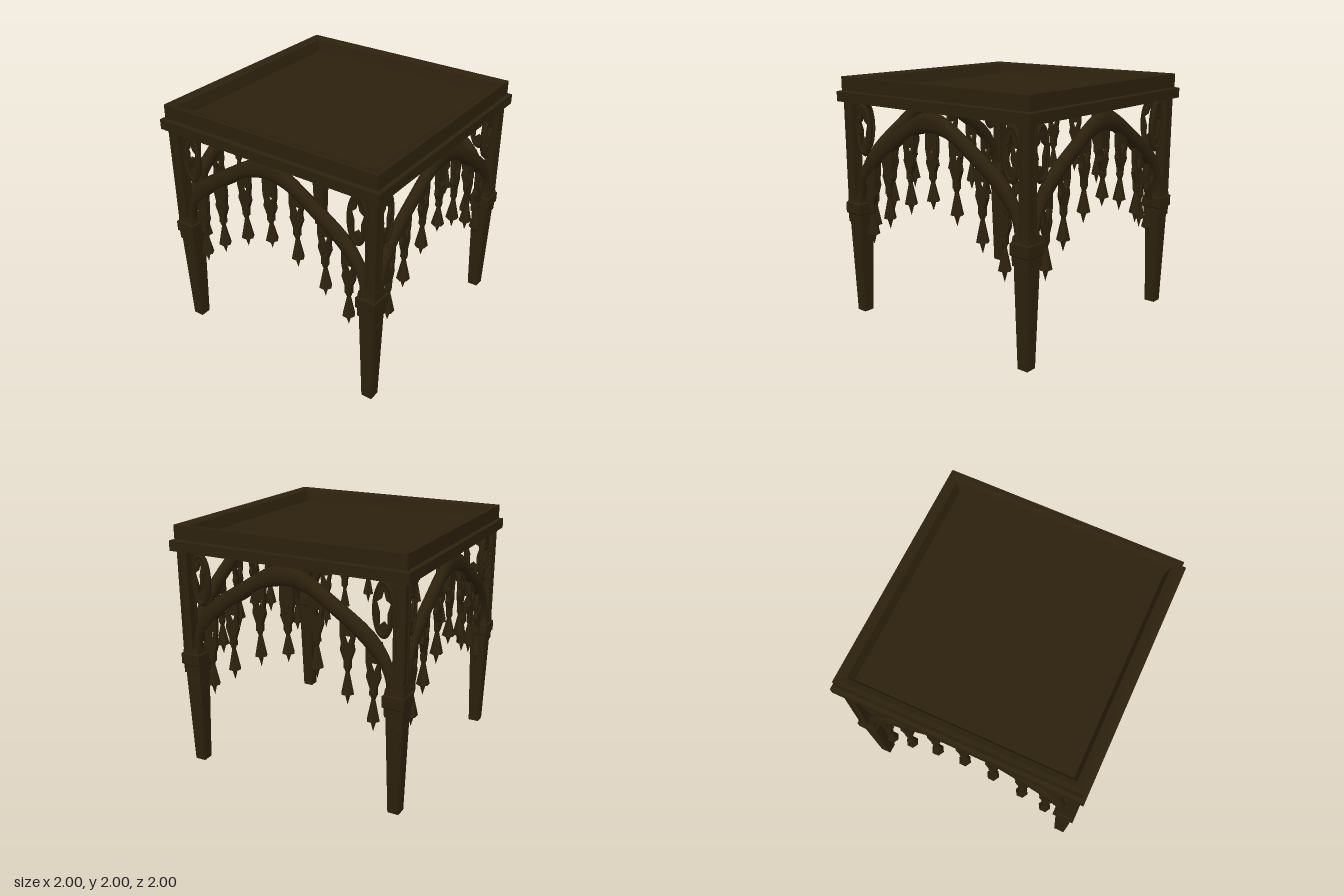
import * as THREE from 'three';
import { toCreasedNormals } from 'three/addons/utils/BufferGeometryUtils.js';

const darkWood = new THREE.MeshStandardMaterial({ color: 0x2d210d });
const brownWood = new THREE.MeshStandardMaterial({ color: 0x583e2b });
darkWood.name = 'darkWood';
brownWood.name = 'brownWood';

const v2 = (p) => new THREE.Vector2(p[0], p[1]);

function part(name, geometry, parent, x = 0, y = 0, z = 0, material = darkWood) {
  const mesh = new THREE.Mesh(geometry, material);
  mesh.name = name;
  mesh.position.set(x, y, z);
  parent.add(mesh);
  return mesh;
}

// Square-plan solid from a [half width, height] profile, listed bottom to top
function squareTurned(profile) {
  const pts = profile.map(([r, y]) => new THREE.Vector2(r * Math.SQRT2, y));
  return toCreasedNormals(new THREE.LatheGeometry(pts, 4, Math.PI / 4), 0.3);
}

// Plate centred on z = 0, with optional holes
function plate(outline, depth, holes = []) {
  const shape = new THREE.Shape(outline.map(v2));
  holes.forEach((h) => shape.holes.push(new THREE.Path(h.map(v2))));
  return new THREE.ExtrudeGeometry(shape, { depth, bevelEnabled: false }).translate(0, 0, -depth / 2);
}

const loop = (n, f) => Array.from({ length: n }, (_, i) => f((i / n) * Math.PI * 2, i));

// Rounded section swept between the outer and inner edges of the arch
function archGeometry() {
  const outer = [[0.885, 0.95], [0.872, 1.08], [0.84, 1.2], [0.78, 1.31], [0.7, 1.405], [0.55, 1.515],
    [0.4, 1.61], [0.25, 1.705], [0.12, 1.775], [0, 1.8]];
  const inner = [[0.82, 0.95], [0.81, 1.05], [0.775, 1.14], [0.71, 1.215], [0.61, 1.31], [0.48, 1.41],
    [0.35, 1.495], [0.22, 1.58], [0.1, 1.62], [0, 1.63]];
  const full = (half) => new THREE.CatmullRomCurve3([
    ...half.map(([x, y]) => new THREE.Vector3(-x, y, 0)),
    ...half.slice(0, -1).reverse().map(([x, y]) => new THREE.Vector3(x, y, 0))]);
  const a = full(outer), b = full(inner), steps = 36, sides = 10;
  const pos = [], idx = [];
  for (let i = 0; i <= steps; i++) {
    const p = a.getPoint(i / steps), q = b.getPoint(i / steps);
    const mid = p.clone().add(q).multiplyScalar(0.5), h = p.clone().sub(mid);
    for (let j = 0; j < sides; j++) {
      const t = (j / sides) * Math.PI * 2, c = Math.cos(t);
      pos.push(mid.x + h.x * c, mid.y + h.y * c, 0.044 * Math.sin(t));
      if (i === steps) continue;
      const k = i * sides + j, n = i * sides + ((j + 1) % sides);
      idx.push(k, n, k + sides, n, n + sides, k + sides);
    }
  }
  const g = new THREE.BufferGeometry();
  g.setAttribute('position', new THREE.Float32BufferAttribute(pos, 3));
  g.setIndex(idx);
  g.computeVertexNormals();
  return g;
}

// Hanging drop: pierced plate, bead, tassel and pointed tip
const dropPlate = plate(
  [[-0.058, 0.16], [-0.058, 0], [-0.046, -0.06], [-0.055, -0.11], [-0.026, -0.19], [-0.026, -0.25],
    [0.026, -0.25], [0.026, -0.19], [0.055, -0.11], [0.046, -0.06], [0.058, 0], [0.058, 0.16]],
  0.035, [[[-0.032, 0], [0.032, 0], [0, -0.085]]]);
const dropTassel = toCreasedNormals(new THREE.LatheGeometry(
  [[0, -0.54], [0.022, -0.46], [0.052, -0.45], [0.02, -0.3], [0.016, -0.28], [0.026, -0.255],
    [0.026, -0.22], [0, -0.2]].map(v2), 6, Math.PI / 6), 0.5);

function drop(parent, x, y, stretch) {
  const g = new THREE.Group();
  g.name = 'drop';
  g.position.set(x, y, 0);
  g.scale.y = stretch;
  part('dropPlate', dropPlate, g);
  part('dropTassel', dropTassel, g);
  parent.add(g);
}

// Oval tracery: rim with a cusped star opening
const ovalPlate = plate(
  loop(28, (t) => [0.075 * Math.cos(t), 0.205 * Math.sin(t)]), 0.025,
  [loop(10, (t, i) => {
    const r = i % 2 ? 0.6 : 1;
    return [0.06 * r * Math.sin(t), 0.15 * r * Math.cos(t)];
  })]);
const ovalRim = new THREE.TorusGeometry(1, 0.15, 6, 28);
ovalRim.scale(0.074, 0.19, 0.17);
ovalRim.computeVertexNormals();

const arch = archGeometry();

function side() {
  const g = new THREE.Group();
  g.name = 'archedSide';
  part('arch', arch, g);
  for (const s of [-1, 1]) {
    part('ovalPlate', ovalPlate, g, s * 0.78, 1.578, 0);
    part('ovalRim', ovalRim, g, s * 0.78, 1.578, 0);
    for (const [x, y] of [[0.247, 1.5], [0.5, 1.34], [0.71, 1.17]]) drop(g, s * x, y, 1);
  }
  drop(g, 0, 1.5, 0.85);
  return g;
}

const legShaft = squareTurned([[0, 0], [0.045, 0], [0.065, 0.77], [0.065, 0.8], [0, 0.8]]);
const collar = squareTurned([[0, 0.79], [0.074, 0.79], [0.076, 0.86], [0.087, 0.87], [0.087, 0.955],
  [0.076, 0.965], [0.07, 1.01], [0, 1.01]]);
const legPanel = plate([[-0.034, 0.05], [0.034, 0.05], [0.05, 0.72], [-0.05, 0.72]], 0.008);
legPanel.rotateX(Math.atan(0.02 / 0.77)).translate(0, 0, 0.045);

function leg() {
  const g = new THREE.Group();
  g.name = 'leg';
  part('legShaft', legShaft, g);
  part('collar', collar, g);
  for (let i = 0; i < 4; i++) part('legPanel', legPanel, g).rotation.y = (i * Math.PI) / 2;
  // Upper post: recessed core between four corner strips
  const post = new THREE.Group();
  post.name = 'upperPost';
  post.position.set(0.027, 0, 0.027);
  part('postCore', new THREE.BoxGeometry(0.074, 0.8, 0.074), post, 0, 1.4, 0);
  for (const x of [-1, 1]) for (const z of [-1, 1]) {
    part('postStrip', new THREE.BoxGeometry(0.018, 0.8, 0.018), post, x * 0.036, 1.4, z * 0.036);
  }
  for (const y of [1.02, 1.785]) part('postBand', new THREE.BoxGeometry(0.089, 0.03, 0.089), post, 0, y, 0);
  g.add(post);
  return g;
}

export function createModel() {
  const model = new THREE.Group();
  model.name = 'table';

  // Top with an overhanging lip and a sunken centre
  part('tabletop', squareTurned([[0, 1.8], [1, 1.8], [1, 1.88], [0.97, 1.888], [0.97, 2], [0.935, 2],
    [0.895, 1.985], [0.865, 1.895], [0, 1.895]]), model);

  // Lighter field on the underside
  const pow = (v) => Math.sign(v) * Math.pow(Math.abs(v), 0.62);
  const field = new THREE.ShapeGeometry(new THREE.Shape(
    loop(32, (t) => v2([0.86 * pow(Math.cos(t)), 0.86 * pow(Math.sin(t))]))));
  field.rotateX(Math.PI / 2);
  part('undersideField', field, model, 0, 1.797, 0, brownWood);

  for (let i = 0; i < 4; i++) {
    const quarter = new THREE.Group();
    quarter.name = 'quarter';
    quarter.rotation.y = (i * Math.PI) / 2;
    const s = side();
    s.position.z = 0.917;
    const l = leg();
    l.position.set(0.89, 0, 0.89);
    quarter.add(s, l);
    model.add(quarter);
  }
  return model;
}
